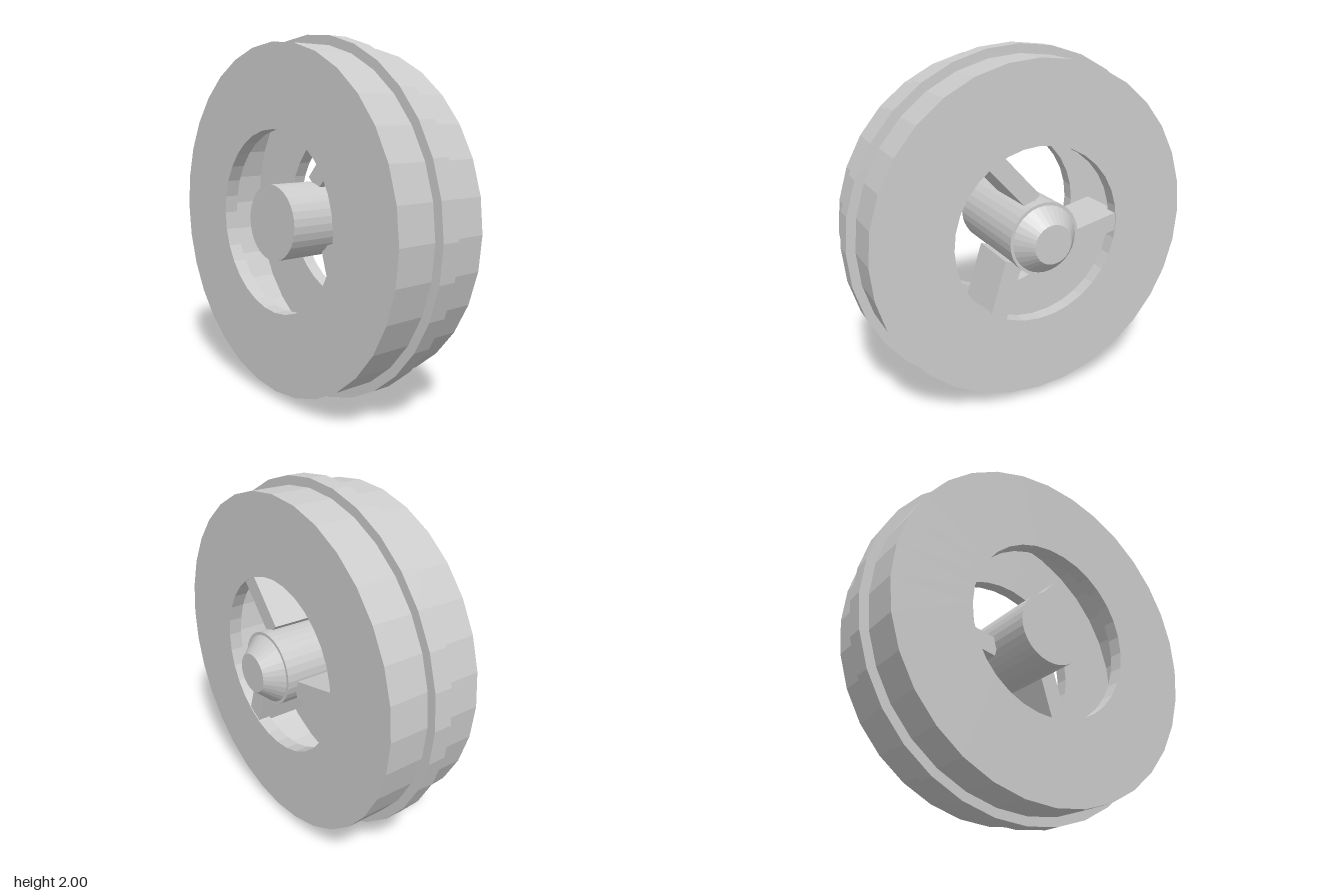
import * as THREE from 'three';

export function createModel() {
  const model = new THREE.Group();
  const material = new THREE.MeshStandardMaterial({ color: 0xcccccc, flatShading: true });

  // Revolves a [radius, x] profile around the wheel's axle (the x axis)
  const revolve = (name, profile, sides) => {
    const points = profile.map(([r, x]) => new THREE.Vector2(r, x));
    const geometry = new THREE.LatheGeometry(points, sides).rotateZ(-Math.PI / 2);
    const mesh = new THREE.Mesh(geometry, material);
    mesh.name = name;
    mesh.position.y = 1;
    model.add(mesh);
  };

  // Hollow rim: two side plates, an outer wall and a raised flange
  const left = 0.215, right = -0.35, wall = 0.078;
  revolve('rim', [
    [0.5, right], [0.95, right], [0.95, -0.12], [1, -0.12], [1, -0.015],
    [0.95, -0.015], [0.95, left], [0.5, left], [0.5, left - wall],
    [0.87, left - wall], [0.87, right + wall], [0.5, right + wall], [0.5, right],
  ], 32);

  // Hub with a tapered cap on one end
  revolve('hub', [
    [0, -0.365], [0.207, -0.365], [0.207, 0.27], [0.19, 0.27], [0.11, 0.365], [0, 0.365],
  ], 32);

  // Three spokes, set off-centre so they meet the hub at a slant
  const spokes = new THREE.Group();
  spokes.name = 'spokes';
  spokes.position.y = 1;
  for (let i = 0; i < 3; i++) {
    const geometry = new THREE.BoxGeometry(0.32, 0.103, 0.35).translate(0.05, -0.108, -0.345);
    const spoke = new THREE.Mesh(geometry, material);
    spoke.name = 'spoke';
    spoke.rotation.x = 0.22 + (i * Math.PI * 2) / 3;
    spokes.add(spoke);
  }
  model.add(spokes);

  return model;
}
